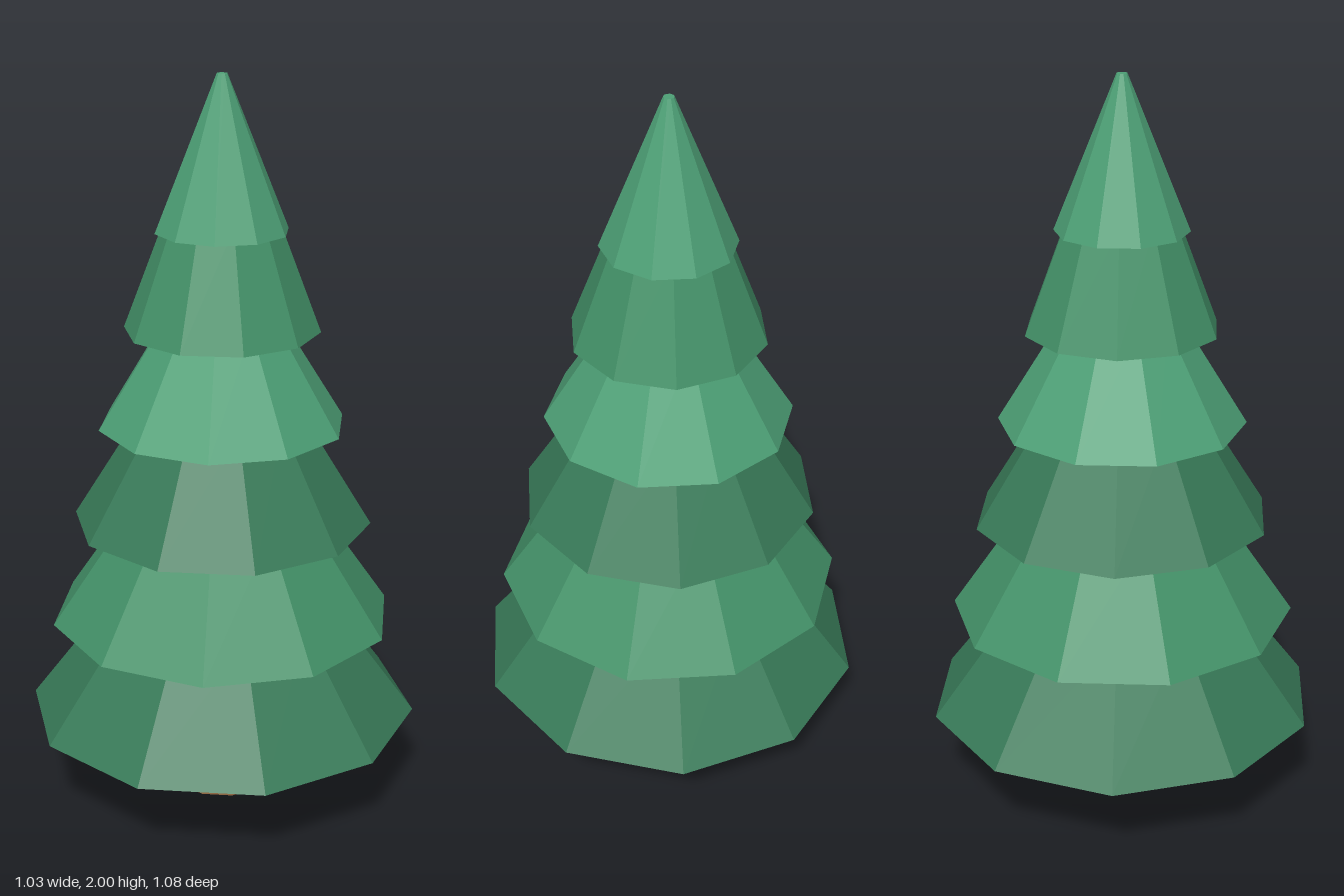
import * as THREE from 'three';

const SIDES = 10;
const material = (color) => new THREE.MeshStandardMaterial({ color, flatShading: true });

// Upright tapered prism from y0 to y1
function prism(name, rBottom, rTop, y0, y1, color, turn = 0) {
  const geometry = new THREE.CylinderGeometry(rTop, rBottom, y1 - y0, SIDES);
  geometry.rotateY(turn).translate(0, (y0 + y1) / 2, 0);
  const mesh = new THREE.Mesh(geometry, material(color));
  mesh.name = name;
  return mesh;
}

export function createModel() {
  const tree = new THREE.Group();
  tree.name = 'pineTree';

  // Trunk, flared foot and the dark heart on its underside
  const trunk = new THREE.Group();
  trunk.name = 'trunk';
  trunk.add(
    prism('trunkStem', 0.122, 0.11, 0.04, 0.26, 0x80523a),
    prism('trunkFoot', 0.139, 0.139, 0.003, 0.045, 0x966a42),
    prism('trunkHeart', 0.105, 0.105, 0, 0.02, 0x4a2e22),
  );
  tree.add(trunk);

  // Three broken branch stubs, evenly spaced and tilted upward
  const up = new THREE.Vector3(0, 1, 0);
  for (let i = 0; i < 3; i++) {
    const a = (i * Math.PI * 2) / 3;
    const start = new THREE.Vector3(0.07 * Math.cos(a), 0.08, 0.07 * Math.sin(a));
    const end = new THREE.Vector3(0.197 * Math.cos(a), 0.132, 0.197 * Math.sin(a));
    const axis = end.clone().sub(start);
    const stub = new THREE.Mesh(new THREE.CylinderGeometry(0.015, 0.031, axis.length(), 6), material(0x6f4632));
    stub.position.copy(start).lerp(end, 0.5);
    stub.quaternion.setFromUnitVectors(up, axis.normalize());
    stub.name = 'branchStub' + (i + 1);
    tree.add(stub);
  }

  // Foliage tiers: bottom radius, top radius, bottom y, top y, color
  const dark = 0x387a58, mid = 0x439168, light = 0x4da076;
  const tiers = [
    [0.539, 0.298, 0.235, 0.555, dark],
    [0.472, 0.252, 0.515, 0.835, mid],
    [0.406, 0.211, 0.795, 1.11, dark],
    [0.335, 0.15, 1.07, 1.37, light],
    [0.262, 0.146, 1.33, 1.635, mid],
    [0.178, 0.014, 1.595, 2, light],
  ];
  const foliage = new THREE.Group();
  foliage.name = 'foliage';
  tiers.forEach(([r0, r1, y0, y1, color], i) => {
    // Every other tier is turned by half a facet
    foliage.add(prism('foliageTier' + (i + 1), r0, r1, y0, y1, color, (i % 2) * (Math.PI / SIDES)));
  });
  tree.add(foliage);
  return tree;
}
